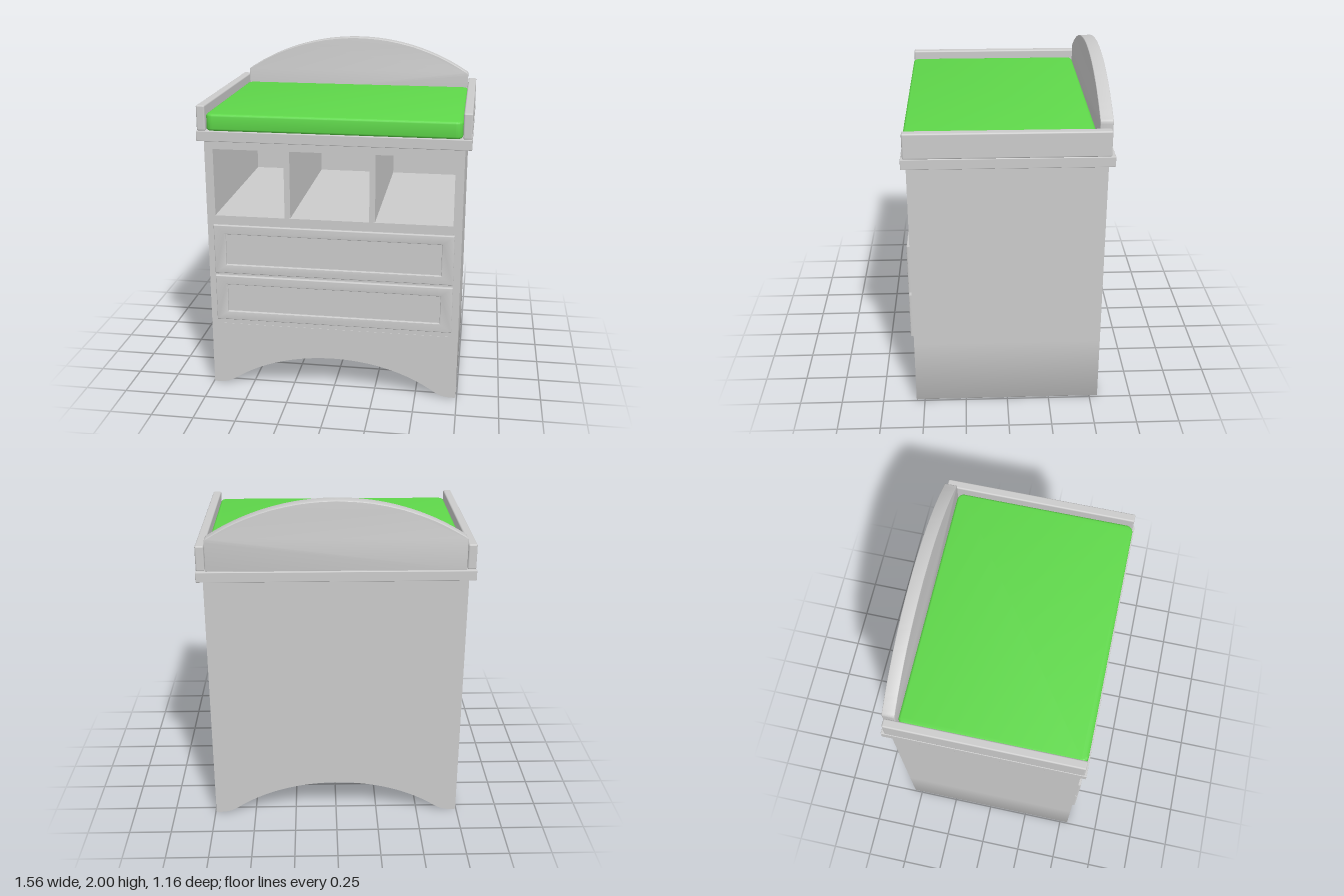
import * as THREE from 'three';
import { RoundedBoxGeometry } from 'three/addons/geometries/RoundedBoxGeometry.js';
import { toCreasedNormals } from 'three/addons/utils/BufferGeometryUtils.js';

const grey = new THREE.MeshStandardMaterial({ color: 0xcccccc });
const green = new THREE.MeshStandardMaterial({ color: 0x5fd84a });

export function createModel() {
  const model = new THREE.Group();
  model.name = 'changingTable';

  const add = (name, geometry, material = grey) => {
    const mesh = new THREE.Mesh(geometry, material);
    mesh.name = name;
    model.add(mesh);
    return mesh;
  };

  // Box given by its limits; a radius rounds the edges
  const box = (name, x0, x1, y0, y1, z0, z1, radius = 0) => {
    const size = [x1 - x0, y1 - y0, z1 - z0];
    const geometry = radius
      ? new RoundedBoxGeometry(...size, 3, radius)
      : new THREE.BoxGeometry(...size);
    const mesh = add(name, geometry);
    mesh.position.set((x0 + x1) / 2, (y0 + y1) / 2, (z0 + z1) / 2);
    return mesh;
  };

  // Outline in x and y, extruded from z0 to z1 with an optional bevel
  const slab = (name, shape, z0, z1, bevel = 0, material = grey) => {
    const geometry = new THREE.ExtrudeGeometry(shape, {
      depth: z1 - z0 - 2 * bevel, curveSegments: 32, bevelEnabled: bevel > 0,
      bevelThickness: bevel, bevelSize: bevel, bevelOffset: -bevel, bevelSegments: 3,
    });
    geometry.translate(0, 0, z0 + bevel);
    return add(name, toCreasedNormals(geometry, 0.6), material);
  };

  const rectangle = (Type, x0, x1, y0, y1) => new Type([
    new THREE.Vector2(x0, y0), new THREE.Vector2(x1, y0),
    new THREE.Vector2(x1, y1), new THREE.Vector2(x0, y1),
  ]);

  // Plinth with an arch running through the full depth
  const plinth = new THREE.Shape();
  plinth.moveTo(-0.745, 0.4);
  plinth.lineTo(-0.745, 0.008);
  plinth.quadraticCurveTo(-0.743, 0, -0.73, 0);
  plinth.bezierCurveTo(-0.66, 0, -0.64, 0.012, -0.59, 0.045);
  plinth.bezierCurveTo(-0.42, 0.155, -0.21, 0.207, 0, 0.207);
  plinth.bezierCurveTo(0.21, 0.207, 0.42, 0.155, 0.59, 0.045);
  plinth.bezierCurveTo(0.64, 0.012, 0.66, 0, 0.73, 0);
  plinth.quadraticCurveTo(0.743, 0, 0.745, 0.008);
  plinth.lineTo(0.745, 0.4);
  slab('plinth', plinth, -0.548, 0.55);

  // Carcass around the open compartments
  for (const side of [-1, 1]) {
    box('sidePanel', side * 0.72 - 0.025, side * 0.72 + 0.025, 0.4, 1.54, -0.548, 0.55);
  }
  box('drawerCase', -0.695, 0.695, 0.4, 1.035, -0.548, 0.548);
  box('shelf', -0.695, 0.695, 1.035, 1.09, -0.548, 0.553);
  box('backPanel', -0.695, 0.695, 1.09, 1.54, -0.548, -0.52);
  box('topRail', -0.695, 0.695, 1.49, 1.54, -0.52, 0.55);
  for (const x of [-0.265, 0.23]) {
    box('divider', x - 0.017, x + 0.017, 1.09, 1.49, -0.52, 0.548);
  }

  // Drawer fronts: a bevelled frame with a recessed panel
  for (const [y0, y1] of [[0.435, 0.717], [0.735, 1.035]]) {
    const frame = rectangle(THREE.Shape, -0.705, 0.705, y0, y1);
    frame.holes.push(rectangle(THREE.Path, -0.635, 0.635, y0 + 0.055, y1 - 0.055));
    slab('drawerFrame', frame, 0.545, 0.57, 0.005);
    box('drawerPanel', -0.64, 0.64, y0 + 0.05, y1 - 0.05, 0.54, 0.556);
  }

  // Table top and side rails
  box('tableTop', -0.782, 0.782, 1.54, 1.6, -0.58, 0.577, 0.004);
  for (const side of [-1, 1]) {
    box('sideRail', side * 0.755 - 0.025, side * 0.755 + 0.025, 1.598, 1.745, -0.558, 0.565, 0.009);
  }

  // Arched backboard
  const board = new THREE.Shape();
  const radius = 1.32, centreY = 2 - radius;
  const angle = Math.asin(0.71 / radius);
  board.moveTo(-0.727, 1.598);
  board.lineTo(0.727, 1.598);
  board.lineTo(0.727, 1.77);
  board.quadraticCurveTo(0.727, 1.785, 0.71, centreY + radius * Math.cos(angle));
  board.absarc(0, centreY, radius, Math.PI / 2 - angle, Math.PI / 2 + angle, false);
  board.quadraticCurveTo(-0.727, 1.785, -0.727, 1.77);
  slab('backboard', board, -0.565, -0.493, 0.004);

  // Cushioned pad: rounded rectangle laid flat with soft edges
  const pad = new THREE.Shape();
  const w = 0.729, d = 0.528, r = 0.04;
  pad.absarc(w - r, d - r, r, 0, Math.PI / 2, false);
  pad.absarc(r - w, d - r, r, Math.PI / 2, Math.PI, false);
  pad.absarc(r - w, r - d, r, Math.PI, Math.PI * 1.5, false);
  pad.absarc(w - r, r - d, r, Math.PI * 1.5, Math.PI * 2, false);
  const cushion = slab('pad', pad, 0, 0.098, 0.014, green);
  cushion.rotation.x = -Math.PI / 2;
  cushion.position.set(0, 1.598, 0.039);

  return model;
}
